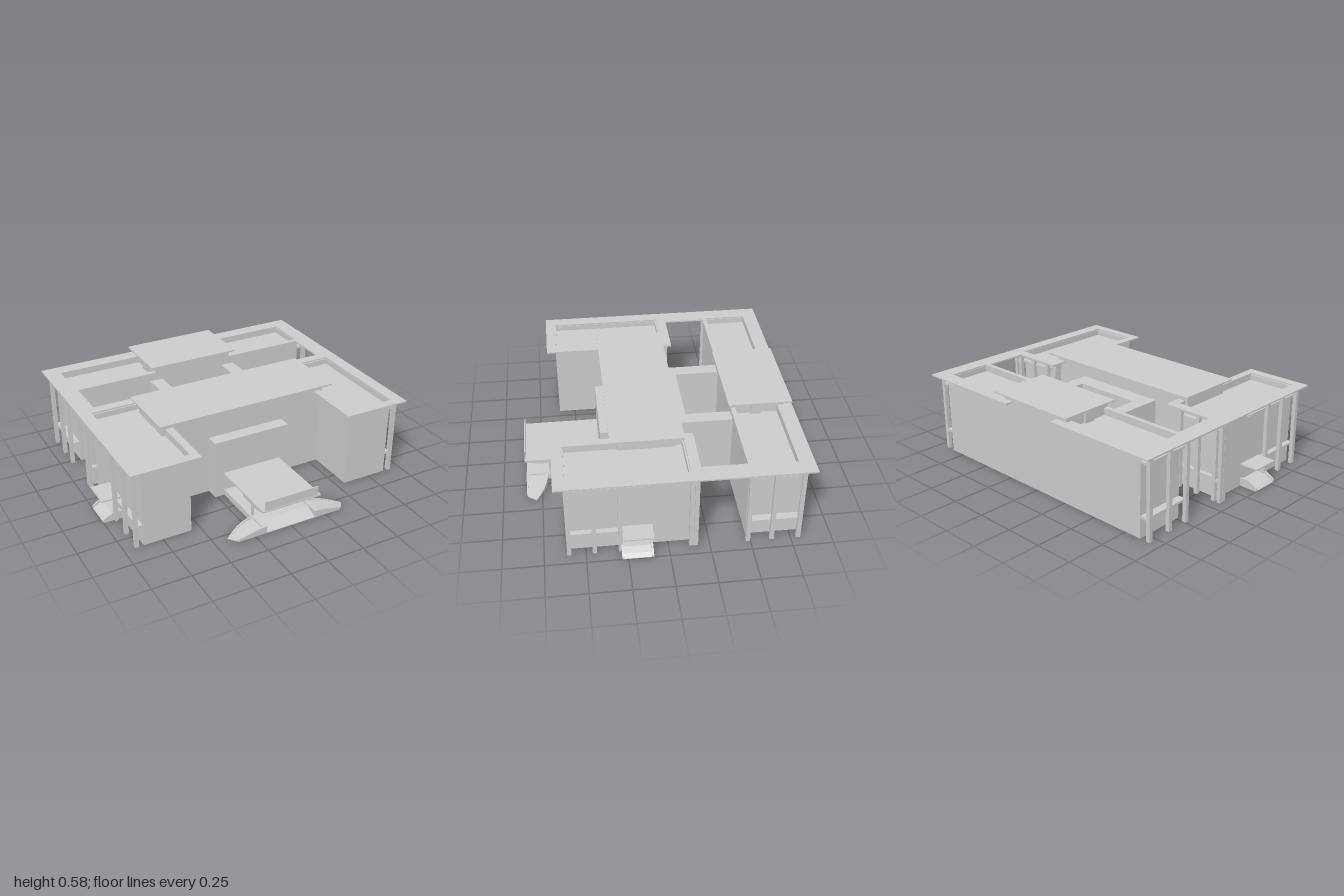
import * as THREE from 'three';

const material = new THREE.MeshStandardMaterial({ color: 0xcccccc, flatShading: true, side: THREE.DoubleSide });

export function createModel() {
  const model = new THREE.Group();

  function add(name, geometry) {
    const mesh = new THREE.Mesh(geometry, material);
    mesh.name = name;
    model.add(mesh);
  }

  // Box from its limits; x limits may come in either order
  function box(name, xa, xb, y0, y1, z0, z1, openBottom = false) {
    const g = new THREE.BoxGeometry(Math.abs(xb - xa), y1 - y0, z1 - z0);
    if (openBottom) {
      const index = Array.from(g.index.array);
      index.splice(18, 6); // drop the bottom face
      g.setIndex(index);
      g.clearGroups();
    }
    g.translate((xa + xb) / 2, (y0 + y1) / 2, (z0 + z1) / 2);
    add(name, g);
  }

  const shapeOf = (pts) => new THREE.Shape(pts.map(([a, b]) => new THREE.Vector2(a, b)));
  const extrude = (shape, depth) => new THREE.ExtrudeGeometry(shape, { depth, bevelEnabled: false });

  // Profile in (x, y) extruded along z
  function alongZ(name, pts, z0, z1) {
    add(name, extrude(shapeOf(pts), z1 - z0).translate(0, 0, z0));
  }

  // Profile in (z, y) extruded along x, centred
  function alongX(name, pts, half) {
    add(name, extrude(shapeOf(pts), 2 * half).rotateY(-Math.PI / 2).translate(half, 0, 0));
  }

  // Solid strip along x whose z limits and height follow a rule
  function strip(name, s, rule, steps = 12) {
    const pos = [], idx = [];
    for (let i = 0; i <= steps; i++) {
      const { x, zb, zf, y } = rule(i / steps);
      pos.push(s * x, 0, zb, s * x, y, zb, s * x, y, zf, s * x, 0, zf);
      if (i === steps) break;
      for (let k = 0; k < 3; k++) {
        const a = i * 4 + k, b = a + 1, c = a + 4, d = a + 5;
        if (s > 0) idx.push(a, b, c, b, d, c);
        else idx.push(a, c, b, b, c, d);
      }
    }
    const g = new THREE.BufferGeometry();
    g.setAttribute('position', new THREE.Float32BufferAttribute(pos, 3));
    g.setIndex(idx);
    g.computeVertexNormals();
    add(name, g);
  }

  // Main hall with its raised flat roof
  box('mainHall', -0.58, 0.575, 0, 0.575, -0.08, 0.275, true);
  box('mainRoof', -0.615, 0.62, 0.575, 0.585, -0.13, 0.32);

  // Rear block and raised centre section
  box('rearBlock', -0.86, 0.86, 0, 0.49, -0.81, -0.48, true);
  box('rearPenthouse', -0.28, 0.28, 0.49, 0.575, -0.81, -0.47);
  box('rearRoof', -0.32, 0.32, 0.575, 0.585, -0.855, -0.45);

  // Corridor ring around the inner court
  box('courtGallery', -0.32, 0.32, 0, 0.475, -0.19, -0.08, true);

  // Entrance block, porch, canopy and sign board
  box('entranceBlock', -0.265, 0.265, 0, 0.395, 0.25, 0.36, true);
  alongX('porchFloor', [[0.36, 0], [0.36, 0.04], [0.77, 0.04], [0.85, 0.004], [0.85, 0]], 0.2);
  alongX('entranceCanopy', [[0.36, 0.165], [0.855, 0.165], [0.855, 0.155], [0.78, 0.137], [0.61, 0.135],
    [0.61, 0.155], [0.36, 0.155]], 0.205);
  box('signBoard', -0.185, 0.185, 0.16, 0.225, 0.843, 0.851);
  for (const x of [-0.182, -0.062, 0.062, 0.182]) {
    box('porchColumn', x - 0.007, x + 0.007, 0.04, 0.14, 0.685, 0.7);
  }

  for (const s of [1, -1]) {
    // Front wing with sunken roof
    box('wing', s * 0.56, s * 0.875, 0, 0.49, -0.13, 0.61, true);
    box('wingParapet', s * 0.55, s * 0.56, 0.47, 0.527, -0.13, 0.61);
    box('wingParapet', s * 0.875, s * 0.885, 0.47, 0.527, -0.13, 0.61);
    box('wingParapet', s * 0.56, s * 0.875, 0.47, 0.527, 0.6, 0.61);
    box('wingParapet', s * 0.56, s * 0.875, 0.47, 0.527, -0.13, -0.12);

    // Rear parapets around the sunken roof
    box('rearParapet', s * 0.28, s * 0.86, 0.49, 0.527, -0.81, -0.77);
    box('rearParapet', s * 0.28, s * 0.86, 0.49, 0.527, -0.5, -0.48);
    box('rearParapet', s * 0.85, s * 0.86, 0.49, 0.527, -0.77, -0.5);
    box('penthouseHatch', s * 0.28, s * 0.295, 0.49, 0.56, -0.67, -0.6);

    // Flat eaves frame with openings over the sunken roofs
    const eaves = shapeOf([[0.2, 0.865], [0.96, 0.865], [0.96, -0.67], [0.51, -0.67], [0.51, 0.195],
      [0.84, 0.195], [0.84, 0.47], [0.2, 0.47]].map(([x, y]) => [s * x, y]));
    for (const [x0, x1, y0, y1] of [[0.56, 0.878, -0.61, 0.13], [0.275, 0.855, 0.5, 0.77]]) {
      eaves.holes.push(new THREE.Path([[x0, y0], [x1, y0], [x1, y1], [x0, y1]]
        .map(([x, y]) => new THREE.Vector2(s * x, y))));
    }
    add('eaves', extrude(eaves, 0.01).rotateX(-Math.PI / 2).translate(0, 0.526, 0));

    box('courtCorridor', s * 0.23, s * 0.32, 0, 0.475, -0.48, -0.19, true);

    // Free-standing side columns
    for (const z of [0.6, 0.447, 0.29, -0.137, -0.165, -0.485, -0.632, -0.797]) {
      box('sideColumn', s * 0.905, s * 0.93, 0, 0.527, z - 0.013, z + 0.013);
    }
    // Rails tying the side columns to the walls
    for (const [y, z0, z1, inner] of [[0.13, 0.29, 0.61, 0.875], [0.467, 0.115, 0.61, 0.875],
      [0.13, -0.81, -0.48, 0.86], [0.467, -0.81, -0.48, 0.86],
      [0.13, -0.175, -0.125, 0.875], [0.467, -0.175, -0.125, 0.875]]) {
      box('sideRail', s * inner, s * 0.91, y, y + 0.015, z0, z1);
    }

    // Columns and rails behind the wing
    for (const x of [0.6, 0.74, 0.875]) {
      box('wingBackColumn', s * (x - 0.013), s * (x + 0.013), 0, 0.527, -0.178, -0.152);
    }
    for (const y of [0.13, 0.467]) {
      box('wingBackRail', s * 0.587, s * 0.905, y, y + 0.015, -0.158, -0.13);
    }

    // Side entrance: ramp, cheek walls and canopy
    const ramp = (h) => [[0.875, 0], [0.875, 0.04 + h], [0.935, 0.04 + h], [0.975, 0.022 + h], [1, 0.003 + h], [1, 0]]
      .map(([x, y]) => [s * x, y]);
    alongZ('sideRamp', ramp(0), 0.11, 0.275);
    alongZ('sideRampCheek', ramp(0.014), 0.097, 0.11);
    alongZ('sideRampCheek', ramp(0.014), 0.275, 0.288);
    box('sideCanopy', s * 0.875, s * 1, 0.143, 0.152, 0.095, 0.28);

    // Curved drive ramp beside the porch, with a kerb on each edge
    const drive = (t) => ({
      x: 0.2 + 0.21 * t,
      zb: 0.71 + 0.08 * t * t,
      zf: 0.85 - 0.06 * Math.max(0, (t - 0.8) / 0.2),
      y: 0.002 + 0.037 * (1 - Math.pow(t, 1.35)),
    });
    strip('driveRamp', s, drive);
    strip('driveKerb', s, (t) => {
      const d = drive(t);
      return { ...d, zf: Math.min(d.zb + 0.012, d.zf), y: d.y + 0.008 * (1 - t) };
    });
    strip('driveKerb', s, (t) => {
      const d = drive(t);
      return { ...d, zb: Math.max(d.zf - 0.012, d.zb), y: d.y + 0.008 * (1 - t) };
    });
    box('porchKerb', s * 0.17, s * 0.2, 0, 0.047, 0.71, 0.85);
  }

  return model;
}
